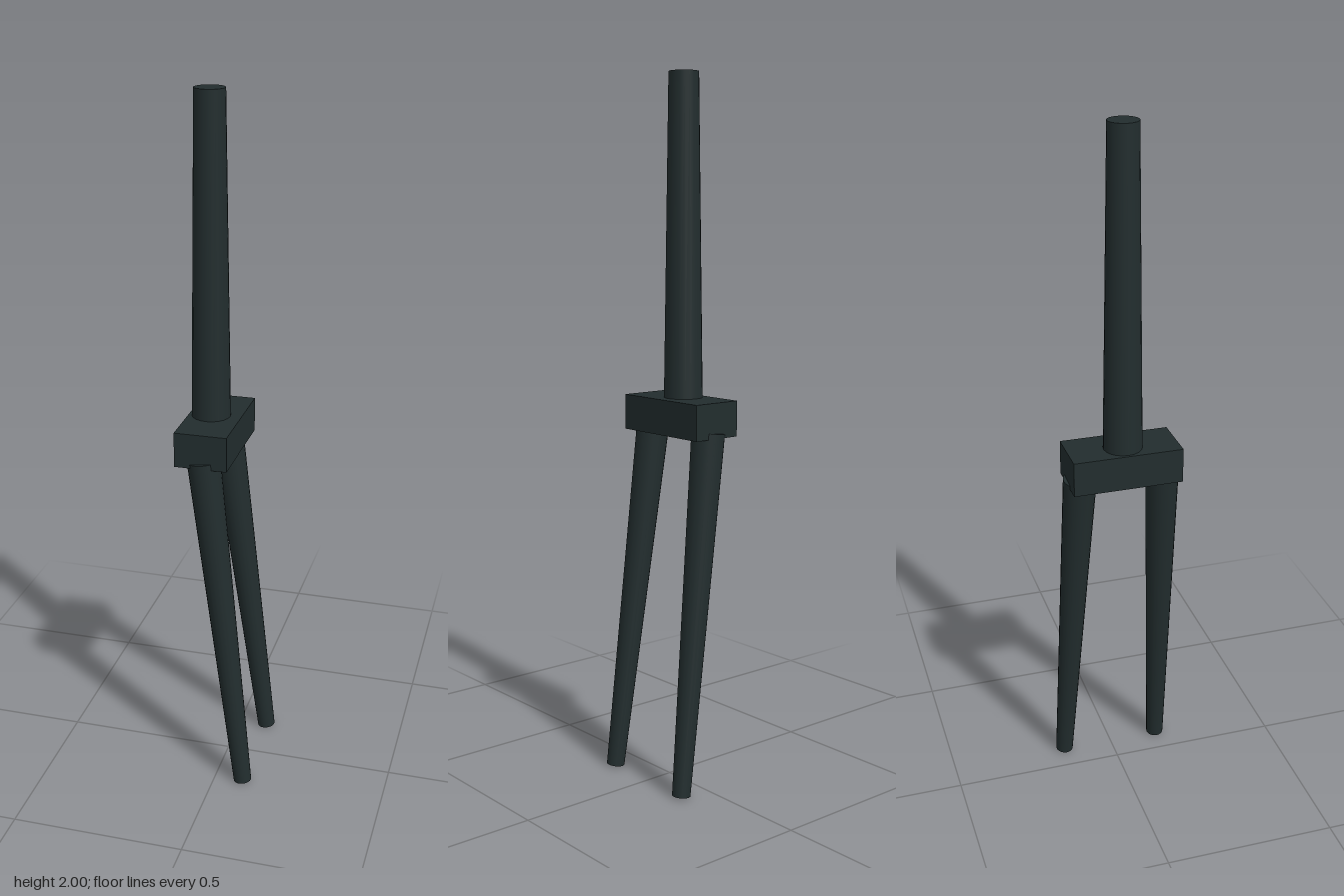
import * as THREE from 'three';

const paint = new THREE.MeshStandardMaterial({ color: 0x222d2e });
paint.name = 'dark slate';

// Tapered round tube between two points
function taperedTube(name, bottom, top, rBottom, rTop) {
  const axis = new THREE.Vector3().subVectors(top, bottom);
  const mesh = new THREE.Mesh(new THREE.CylinderGeometry(rTop, rBottom, axis.length(), 20), paint);
  mesh.name = name;
  mesh.position.addVectors(bottom, top).multiplyScalar(0.5);
  mesh.quaternion.setFromUnitVectors(new THREE.Vector3(0, 1, 0), axis.normalize());
  return mesh;
}

export function createModel() {
  const fork = new THREE.Group();
  fork.name = 'bicycleFork';

  // Steerer tube above the crown
  fork.add(taperedTube('steererTube',
    new THREE.Vector3(-0.05, 1.09, 0), new THREE.Vector3(-0.05, 2, 0), 0.055, 0.042));

  // Crown block joining the legs
  const crown = new THREE.Mesh(new THREE.BoxGeometry(0.148, 0.1, 0.312), paint);
  crown.name = 'crown';
  crown.position.set(-0.038, 1.055, 0);
  fork.add(crown);

  // Two legs, raked forward and splayed slightly outward
  for (const [name, side] of [['frontSideLeg', 1], ['backSideLeg', -1]]) {
    fork.add(taperedTube(name,
      new THREE.Vector3(0.084, 0.003, 0.15 * side),
      new THREE.Vector3(-0.038, 1.018, 0.12 * side), 0.026, 0.047));
  }
  return fork;
}
